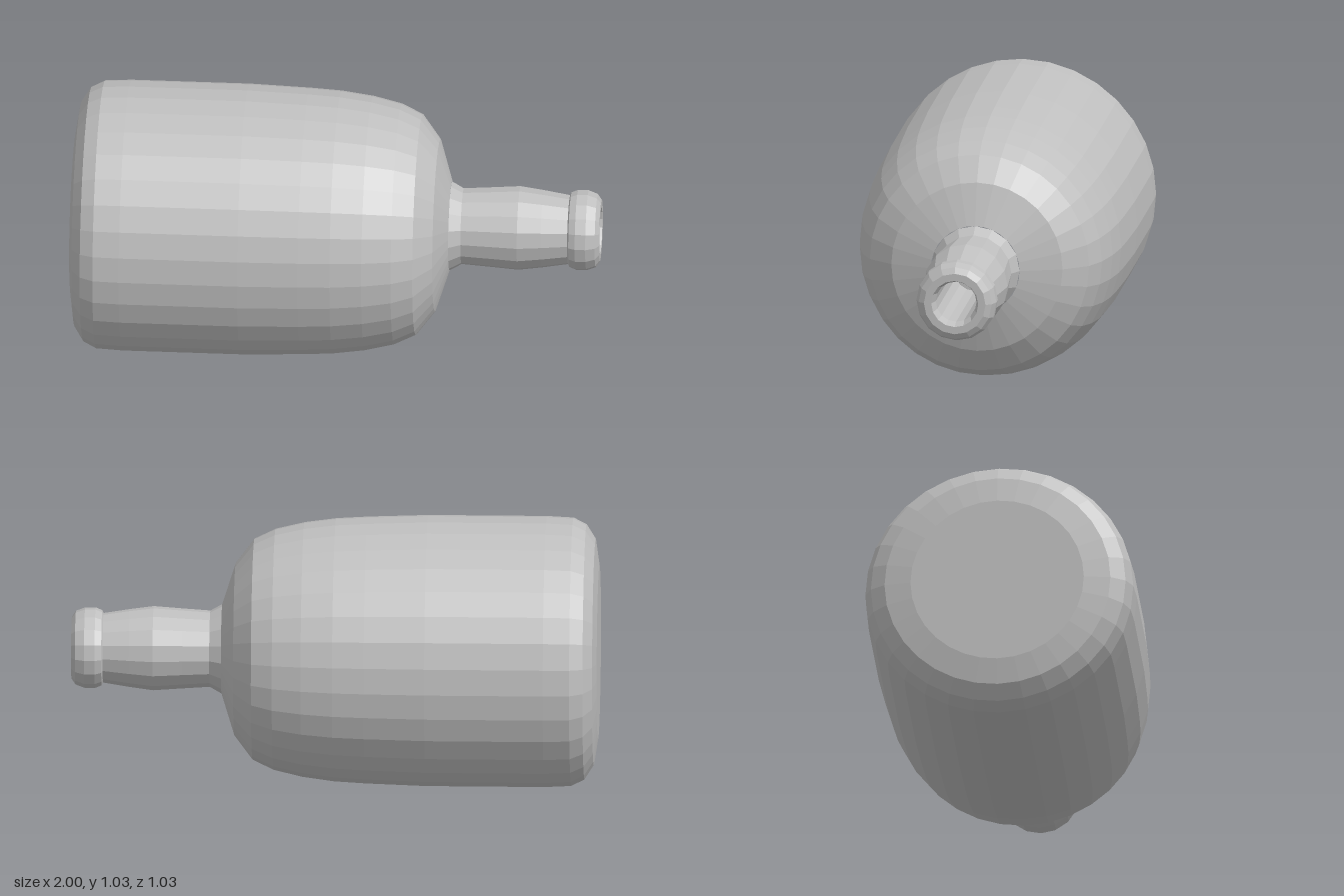
import * as THREE from 'three';

const RADIUS = 0.515;

export function createModel() {
  const group = new THREE.Group();
  group.name = 'bottle';

  const grey = new THREE.MeshStandardMaterial({ color: 0xbfbfbf, flatShading: true });
  grey.name = 'light grey';

  // Turns a profile of [x, radius] points around the long axis
  const turned = (name, profile, sides) => {
    const points = profile.map(([x, r]) => new THREE.Vector2(r, x));
    const geometry = new THREE.LatheGeometry(points, sides);
    geometry.rotateZ(-Math.PI / 2);
    const mesh = new THREE.Mesh(geometry, grey);
    mesh.name = name;
    mesh.position.y = RADIUS;
    group.add(mesh);
  };

  // Slightly domed base
  turned('base', [[-1, 0], [-1, 0.33], [-0.985, 0.43], [-0.95, 0.485]], 32);

  // Body with rounded shoulder
  turned('body', [
    [-0.95, 0.485], [-0.9, 0.51], [-0.8, RADIUS], [-0.35, RADIUS], [-0.12, 0.507],
    [0, 0.5], [0.12, 0.484], [0.23, 0.458], [0.31, 0.42], [0.38, 0.328], [0.43, 0.17],
  ], 32);

  // Collar and gently swollen neck
  turned('neck', [[0.43, 0.17], [0.475, 0.145], [0.58, 0.152], [0.69, 0.16], [0.78, 0.148], [0.88, 0.132]], 16);

  // Rounded lip, then the bore down to its floor
  turned('lip', [
    [0.88, 0.132], [0.885, 0.143], [0.91, 0.153], [0.95, 0.153], [0.985, 0.14], [1, 0.118], [1, 0.09],
  ], 16);
  turned('bore', [[1, 0.09], [0.96, 0.078], [0.45, 0.078], [0.45, 0]], 16);

  return group;
}
